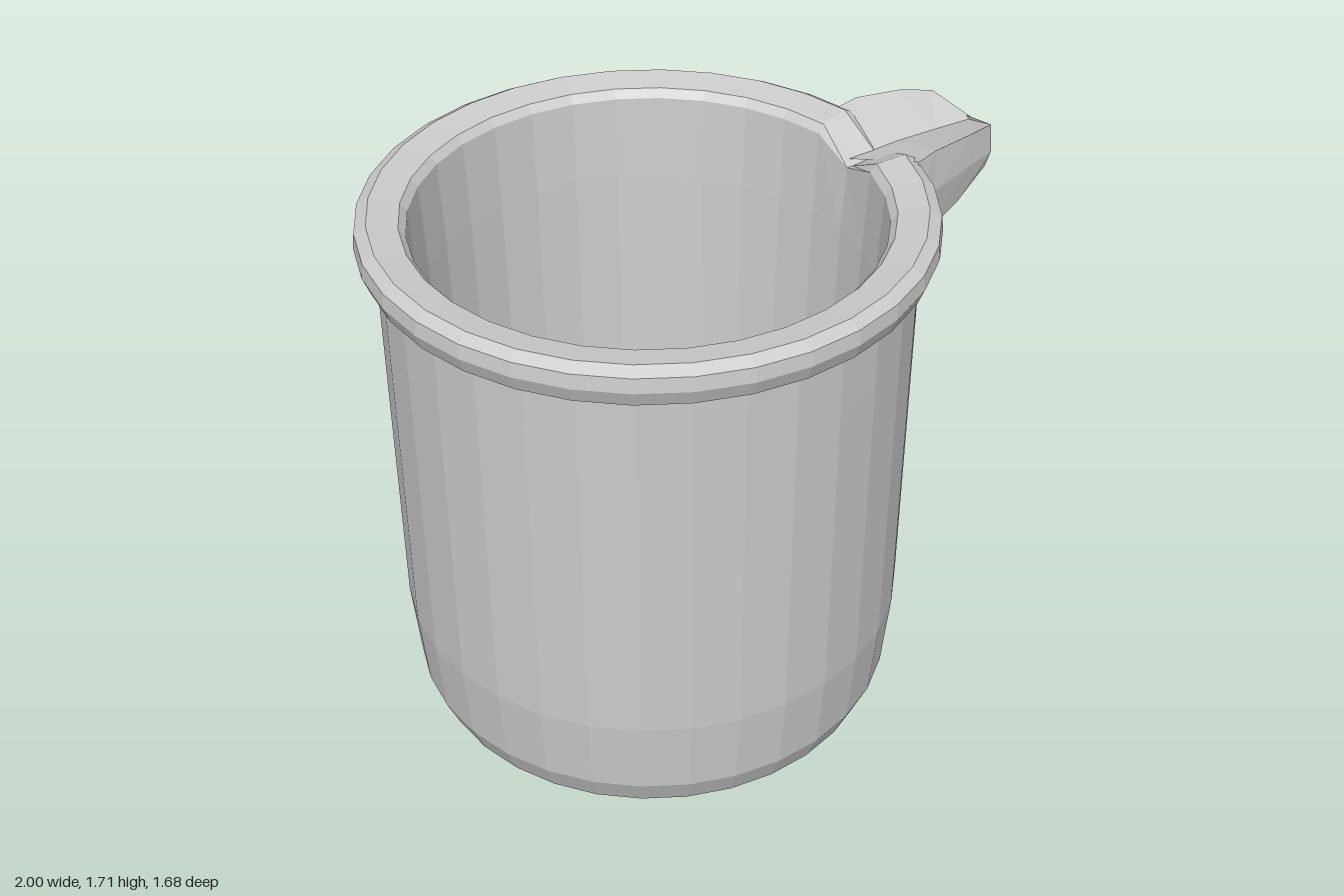
import * as THREE from 'three';

const material = new THREE.MeshStandardMaterial({ color: 0xcccccc, flatShading: true, side: THREE.DoubleSide });
const AXIS_X = -0.16;
const SPOUT_ANGLE = Math.PI / 16;

// Thick-walled cup: outside from the base up, over the rim, down the inside to the floor
function makeCup() {
  const profile = [
    [0, 0], [0.55, 0], [0.64, 0.01], [0.70, 0.04], [0.74, 0.13], [0.765, 0.38], [0.78, 1.4], [0.782, 1.565],
    [0.82, 1.59], [0.84, 1.64], [0.835, 1.685], [0.80, 1.705],
    [0.71, 1.69], [0.69, 1.665], [0.675, 1.4], [0.64, 0.4], [0.53, 0.16], [0.47, 0.12], [0, 0.12],
  ].map(([r, y]) => new THREE.Vector2(r, y));
  const geometry = new THREE.LatheGeometry(profile, 32);
  const p = geometry.attributes.position;
  for (let i = 0; i < p.count; i++) {
    const x = p.getX(i), y = p.getY(i), z = p.getZ(i), r = Math.hypot(x, z);
    const away = Math.abs(Math.atan2(z, x) - SPOUT_ANGLE);
    // the underside of the rim sags towards the spout
    if (r > 0.78 && y > 1.5 && y < 1.62) {
      const sag = 1 - THREE.MathUtils.clamp((away - 0.22) / 0.42, 0, 1);
      p.setY(i, y - 0.17 * sag);
    }
    // pouring notch across the top of the rim
    if (y > 1.63 && away < 0.05) p.setY(i, r > 0.75 ? 1.62 : 1.61);
  }
  geometry.computeVertexNormals();
  const cup = new THREE.Mesh(geometry, material);
  cup.name = 'cup';
  cup.position.x = AXIS_X;
  return cup;
}

// Spout: cross-sections from root to tip, each
// back lip, channel, front lip, front side, front keel, middle keel, back keel, back side
function makeSpout() {
  const sections = [
    [[0.59, 1.70, -0.03], [0.54, 1.625, 0.12], [0.58, 1.70, 0.36], [0.58, 1.58, 0.37],
      [0.57, 1.39, 0.33], [0.59, 1.40, 0.16], [0.58, 1.39, 0], [0.6, 1.57, -0.05]],
    [[0.72, 1.705, -0.03], [0.72, 1.63, 0.15], [0.66, 1.705, 0.355], [0.66, 1.57, 0.36],
      [0.65, 1.40, 0.33], [0.67, 1.405, 0.16], [0.65, 1.40, 0], [0.71, 1.57, -0.03]],
    [[0.86, 1.70, 0.02], [0.86, 1.63, 0.18], [0.82, 1.70, 0.355], [0.82, 1.59, 0.355],
      [0.80, 1.46, 0.33], [0.82, 1.47, 0.18], [0.80, 1.46, 0.04], [0.85, 1.58, 0.03]],
    [[0.96, 1.68, 0.065], [0.99, 1.63, 0.21], [0.91, 1.695, 0.35], [0.92, 1.60, 0.35],
      [0.92, 1.54, 0.33], [0.98, 1.59, 0.20], [0.94, 1.55, 0.075], [1.0, 1.62, 0.13]],
  ];
  // keep the back side of the tip on the outline
  sections[3][7] = [0.97, 1.61, 0.07];
  const n = sections[0].length;
  const index = [];
  for (let s = 0; s < sections.length - 1; s++) {
    for (let k = 0; k < n; k++) {
      const a = s * n + k, b = s * n + (k + 1) % n;
      index.push(a, b, a + n, b, b + n, a + n);
    }
  }
  // blunt tip around a slightly raised centre
  const last = (sections.length - 1) * n, centre = sections.length * n;
  for (let k = 0; k < n; k++) index.push(last + k, last + (k + 1) % n, centre);
  const geometry = new THREE.BufferGeometry();
  const points = [...sections.flat(2), 1.0, 1.62, 0.15];
  geometry.setAttribute('position', new THREE.Float32BufferAttribute(points, 3));
  geometry.setIndex(index);
  geometry.computeVertexNormals();
  const spout = new THREE.Mesh(geometry, material);
  spout.name = 'spout';
  return spout;
}

export function createModel() {
  const model = new THREE.Group();
  model.name = 'beaker';
  model.add(makeCup(), makeSpout());
  return model;
}
